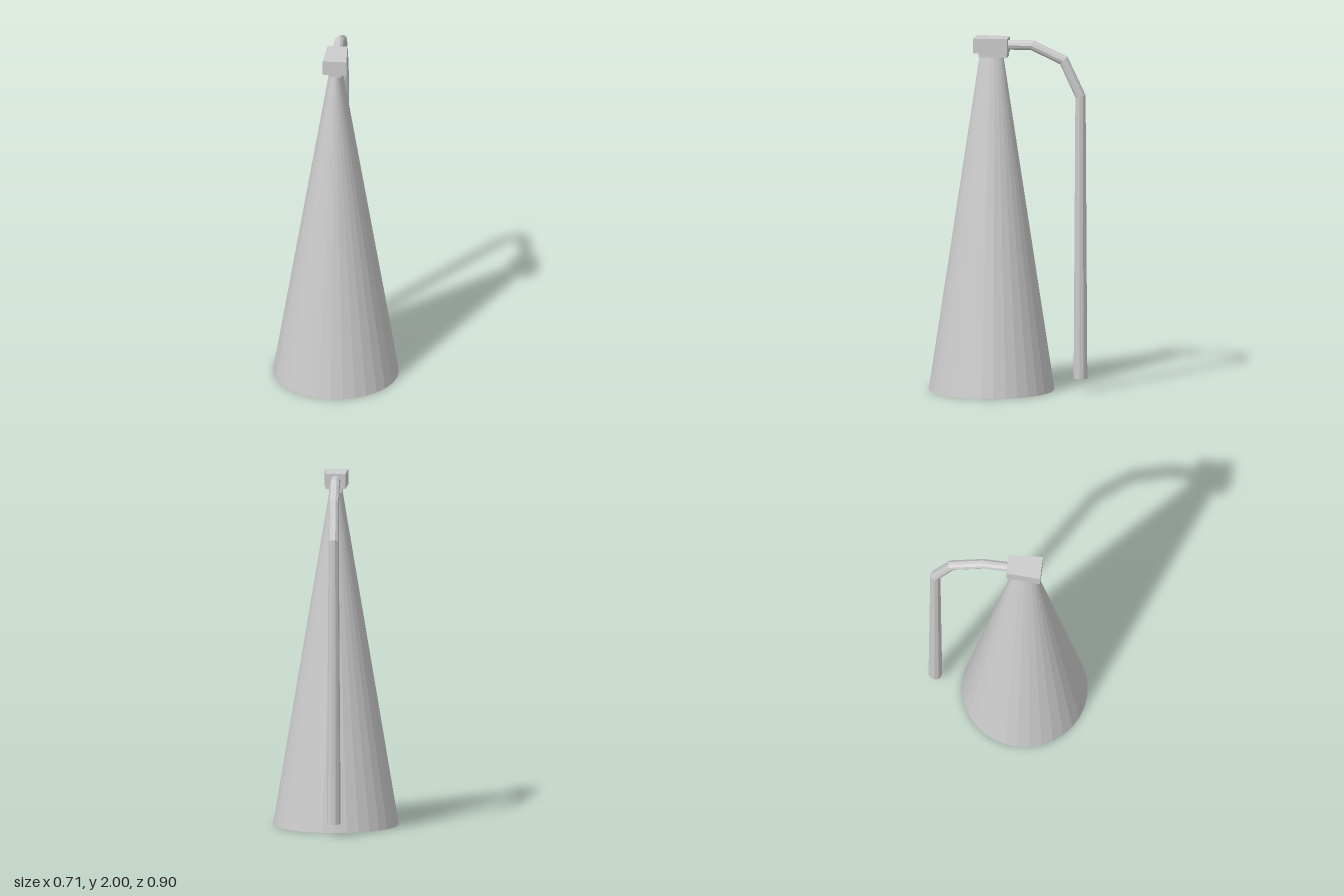
import * as THREE from 'three';

export function createModel() {
  const model = new THREE.Group();
  const grey = new THREE.MeshStandardMaterial({ color: 0xcccccc, flatShading: true, side: THREE.DoubleSide });
  grey.name = 'lightGrey';

  function add(name, geometry) {
    const flat = geometry.toNonIndexed();
    flat.computeVertexNormals();
    const mesh = new THREE.Mesh(flat, grey);
    mesh.name = name;
    model.add(mesh);
    return mesh;
  }

  function lathe(...profile) {
    return new THREE.LatheGeometry(profile.map(([r, y]) => new THREE.Vector2(r, y)), 32);
  }

  // Horn: round at the mouth, oval at the top, with each facet kept nearly flat
  const topX = 0.037, topZ = 0.068, topY = 1.89;
  const hornGeometry = lathe([0.353, 0], [topX, topY]);
  const p = hornGeometry.attributes.position;
  for (let i = 0; i < p.count; i++) {
    if (p.getY(i) < 1) continue;
    const s = p.getX(i) / topX, c = p.getZ(i) / topX;
    const d = Math.hypot(topX * s, topZ * c);
    p.setXYZ(i, topX * topX * s / d, topY, topZ * topZ * c / d);
  }
  add('horn', hornGeometry).position.z = 0.097;

  // Inner wall, open towards the horn at the mouth
  add('innerWall', lathe([0, 1.6], [0.293, 0])).position.z = 0.097;

  // Neck block between the horn and the head
  add('neck', new THREE.BoxGeometry(0.074, 0.03, 0.16)).position.set(0, 1.905, 0.085);

  // Wedge-shaped head, narrower at the back
  const headGeometry = new THREE.BoxGeometry(0.134, 0.085, 0.192);
  const h = headGeometry.attributes.position;
  for (let i = 0; i < h.count; i++) {
    if (h.getZ(i) < 0) h.setX(i, h.getX(i) * 0.83);
  }
  add('head', headGeometry).position.set(0, 1.9575, 0.096);

  // Ten-sided hose with mitred bends, widening towards its lower end: z, y, radius
  const path = [
    [0.02, 1.96, 0.028], [-0.136, 1.961, 0.028], [-0.314, 1.879, 0.028],
    [-0.409, 1.678, 0.029], [-0.409, 0.074, 0.039],
  ];
  const sides = 10;
  const points = path.map(([z, y]) => new THREE.Vector2(z, y));
  const vertices = [], faces = [];
  points.forEach((c, k) => {
    const before = points[Math.max(k - 1, 0)], after = points[Math.min(k + 1, path.length - 1)];
    const into = (k ? c.clone().sub(before) : after.clone().sub(c)).normalize();
    const out = (k < path.length - 1 ? after.clone().sub(c) : into.clone()).normalize();
    const along = into.clone().add(out).normalize();
    const stretch = 1 / along.dot(into);
    const r = path[k][2];
    for (let i = 0; i < sides; i++) {
      const a = i / sides * Math.PI * 2;
      const up = Math.sin(a) * r * stretch;
      vertices.push(Math.cos(a) * r, c.y - along.x * up, c.x + along.y * up);
    }
  });
  for (let k = 0; k < path.length - 1; k++) {
    for (let i = 0; i < sides; i++) {
      const a = k * sides + i, b = k * sides + (i + 1) % sides;
      faces.push(a, a + sides, b, b, a + sides, b + sides);
    }
  }
  // End caps
  const last = (path.length - 1) * sides;
  for (let i = 1; i < sides - 1; i++) {
    faces.push(0, i, i + 1, last, last + i + 1, last + i);
  }
  const hoseGeometry = new THREE.BufferGeometry();
  hoseGeometry.setAttribute('position', new THREE.Float32BufferAttribute(vertices, 3));
  hoseGeometry.setIndex(faces);
  add('hose', hoseGeometry);

  return model;
}
